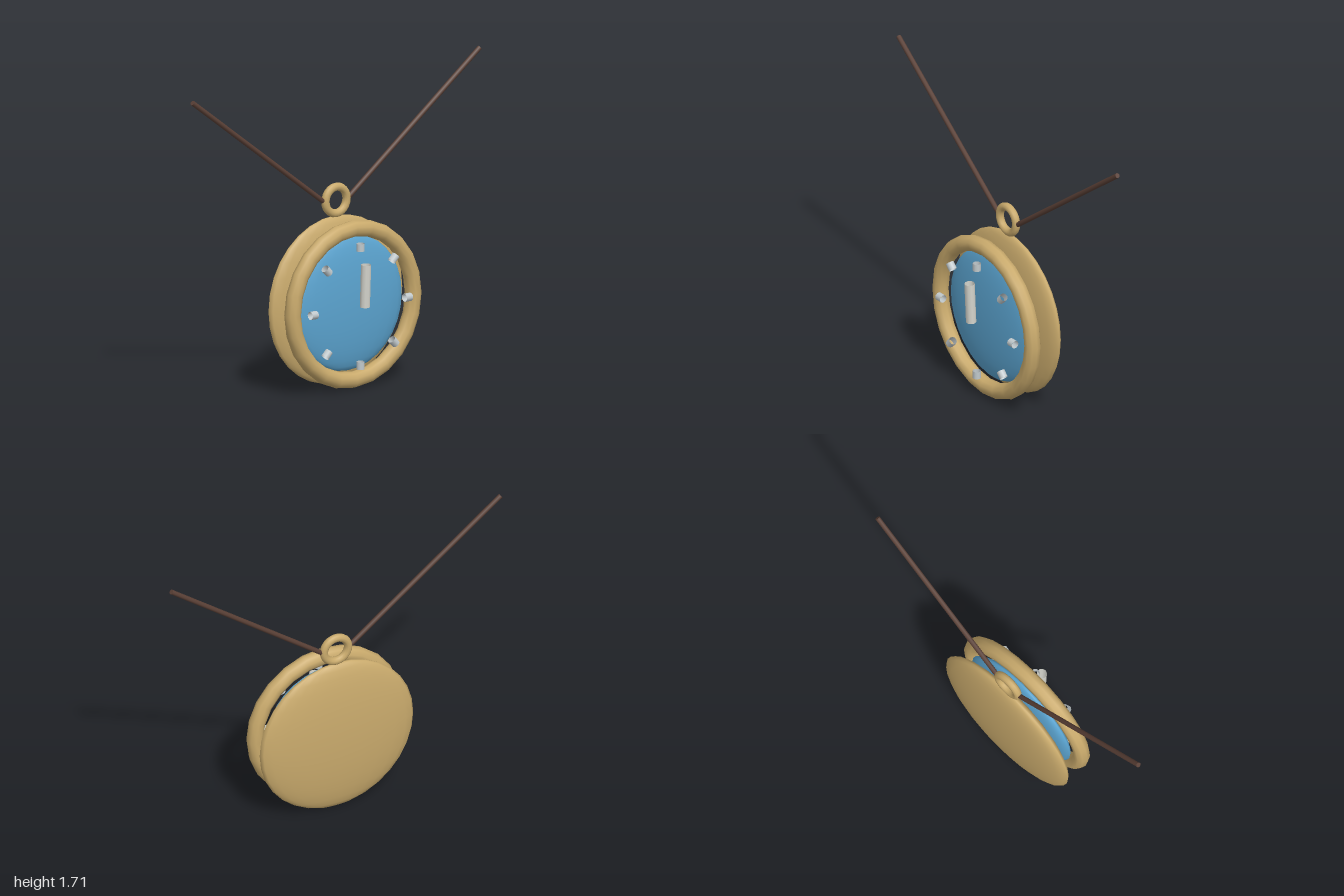
import * as THREE from 'three';

export function createModel() {
  const model = new THREE.Group();
  const CY = 0.466; // height of the watch centre

  const material = (name, color, side = THREE.FrontSide) => {
    const m = new THREE.MeshStandardMaterial({ color, side });
    m.name = name;
    return m;
  };
  const brass = material('brass', 0xc9aa6c);
  const blue = material('dial blue', 0x5ba4d0);
  const leather = material('dark brown cord', 0x5a4036);
  const silver = material('silver', 0xc2cacd, THREE.DoubleSide);
  const pale = material('pale silver', 0xd6d6ce, THREE.DoubleSide);

  const add = (name, geometry, mat, x, y, z) => {
    const mesh = new THREE.Mesh(geometry, mat);
    mesh.name = name;
    mesh.position.set(x, y, z);
    model.add(mesh);
    return mesh;
  };

  // Flattened, domed case and dial
  const disc = (name, radius, depth, mat, z) =>
    add(name, new THREE.SphereGeometry(radius, 24, 16).scale(1, 1, depth / radius), mat, 0, CY, z);
  disc('backCase', 0.462, 0.071, brass, -0.105);
  disc('dial', 0.372, 0.06, blue, 0);

  // Bezel and hanging ring
  add('bezel', new THREE.TorusGeometry(0.416, 0.045, 10, 24), brass, 0, CY, 0.043);
  add('hangingRing', new THREE.TorusGeometry(0.073, 0.0225, 10, 24), brass, 0, 1.013, -0.1);

  // Open tubular hour markers, each pointing outward
  const markerGeometry = new THREE.CylinderGeometry(0.0225, 0.0225, 0.042, 10, 1, true);
  for (let i = 0; i < 8; i++) {
    const a = (i / 8) * Math.PI * 2;
    const marker = add('hourMarker', markerGeometry, silver,
      Math.sin(a) * 0.325, CY + Math.cos(a) * 0.325, 0.107);
    marker.rotation.z = -a;
  }

  // Open tubular hand, leaning slightly forward
  const hand = add('hand', new THREE.CylinderGeometry(0.028, 0.028, 0.235, 10, 1, true), pale, 0, 0.587, 0.15);
  hand.rotation.x = 0.045;

  // Two straight cords rising from the ring
  for (const side of [-1, 1]) {
    const start = new THREE.Vector3(side * 0.09, 1.02, -0.1);
    const end = new THREE.Vector3(side * 0.991, 1.7, -0.1);
    const along = end.clone().sub(start);
    const cord = add(side > 0 ? 'leftCord' : 'rightCord',
      new THREE.CylinderGeometry(0.014, 0.014, along.length(), 8), leather,
      ...start.clone().add(end).multiplyScalar(0.5).toArray());
    cord.quaternion.setFromUnitVectors(new THREE.Vector3(0, 1, 0), along.normalize());
  }

  return model;
}
